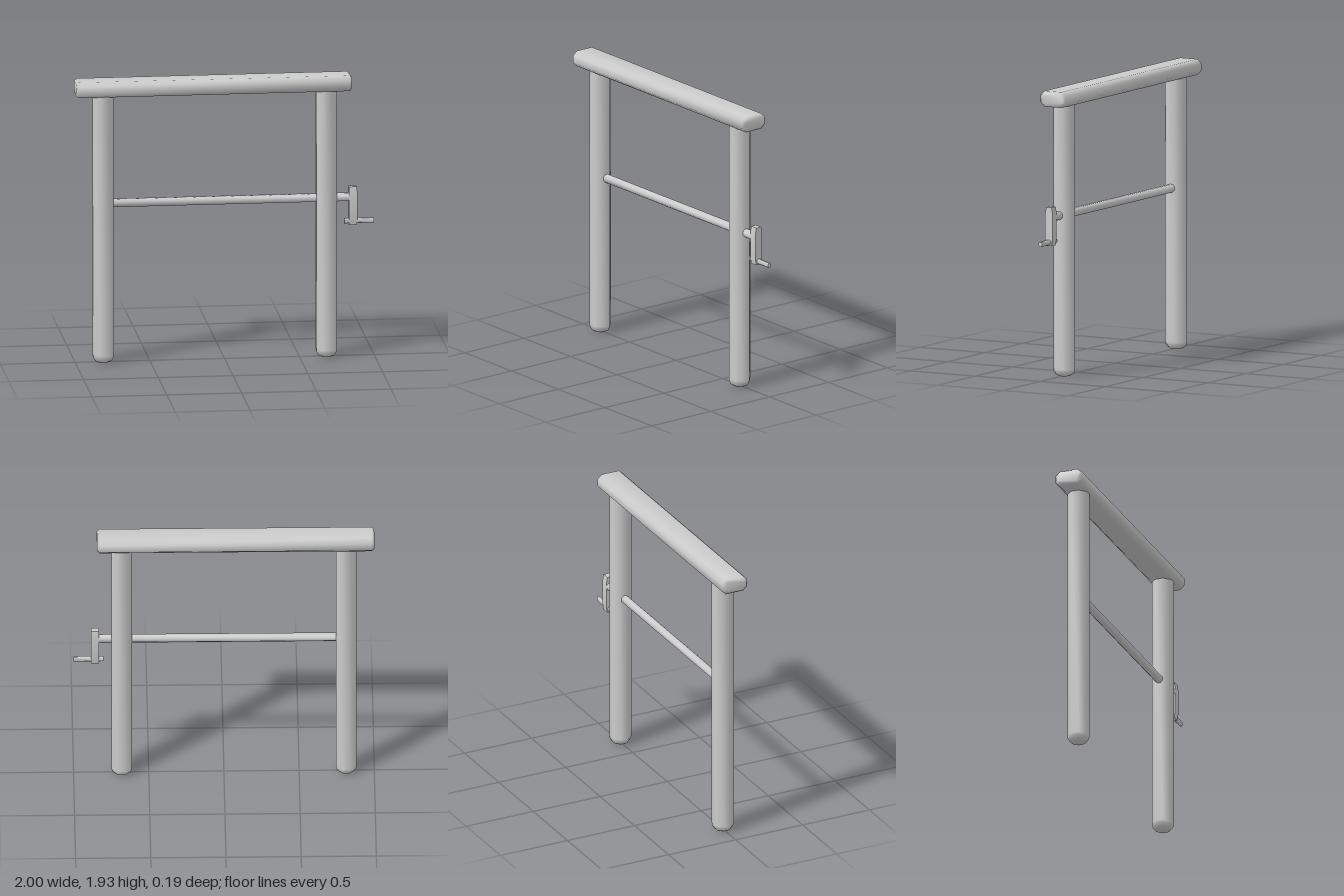
import * as THREE from 'three';
import { mergeVertices, toCreasedNormals } from 'three/addons/utils/BufferGeometryUtils.js';

const material = new THREE.MeshStandardMaterial({ color: 0xcccccc });

// Welds the corners so the chamfers shade smoothly
function smooth(geometry) {
  geometry.deleteAttribute('normal');
  geometry.deleteAttribute('uv');
  const welded = mergeVertices(geometry, 1e-4);
  welded.computeVertexNormals();
  return welded;
}

// Bar along x from x0 to x1 with a chamfered rectangular section in z and y
function chamferedBar(x0, x1, halfZ, halfY, cutZ, cutY, bevel) {
  const a = halfZ - cutZ, b = halfY - cutY;
  const shape = new THREE.Shape([
    [-a, -halfY], [a, -halfY], [halfZ, -b], [halfZ, b],
    [a, halfY], [-a, halfY], [-halfZ, b], [-halfZ, -b],
  ].map(([x, y]) => new THREE.Vector2(x, y)));
  const geometry = new THREE.ExtrudeGeometry(shape, {
    depth: x1 - x0 - 2 * bevel, bevelEnabled: bevel > 0, bevelThickness: bevel,
    bevelSize: bevel, bevelOffset: -bevel, bevelSegments: 1,
  });
  geometry.translate(0, 0, bevel);
  geometry.rotateY(Math.PI / 2);
  geometry.translate(x0, 0, 0);
  return geometry;
}

// Round bar along x
function rod(x0, x1, radius, sides, segments = 1) {
  const geometry = new THREE.CylinderGeometry(radius, radius, x1 - x0, sides, segments, false, Math.PI / sides);
  geometry.rotateZ(-Math.PI / 2);
  geometry.translate((x0 + x1) / 2, 0, 0);
  return geometry;
}

export function createModel() {
  const model = new THREE.Group();
  const add = (name, geometry, x, y) => {
    const mesh = new THREE.Mesh(geometry, material);
    mesh.name = name;
    mesh.position.set(x, y, 0);
    model.add(mesh);
  };

  // Eight-sided posts with rounded feet
  const flat = 1 / Math.cos(Math.PI / 8);
  const profile = [[0, 0], [0.036, 0], [0.055, 0.012], [0.0655, 0.032], [0.068, 0.05], [0.068, 1.84], [0, 1.84]]
    .map(([r, y]) => new THREE.Vector2(r * flat, y));
  const post = smooth(new THREE.LatheGeometry(profile, 8, Math.PI / 8));
  add('rightPost', post, -0.813, 0);
  add('leftPost', post, 0.68, 0);

  // Top beam
  add('topBeam', smooth(chamferedBar(-1, 0.845, 0.095, 0.053, 0.03, 0.028, 0.016)), 0, 1.873);

  // Crossbar running through the left post to the crank
  add('crossbar', toCreasedNormals(rod(-0.8, 0.84, 0.029, 8), 0.9), 0, 1.083);

  // Crank arm with narrowed ends
  add('crankArm', toCreasedNormals(chamferedBar(0.83, 0.885, 0.028, 0.13, 0.008, 0.042, 0), 0.5), 0, 1.025);

  // Crank handle, thinner towards its free end
  const handle = rod(0.8, 1, 0.018, 8, 2);
  const p = handle.attributes.position;
  for (let i = 0; i < p.count; i++) if (p.getX(i) > 0.95) p.setZ(i, p.getZ(i) * 0.75);
  add('crankHandle', toCreasedNormals(handle, 0.9), 0, 0.92);

  return model;
}
